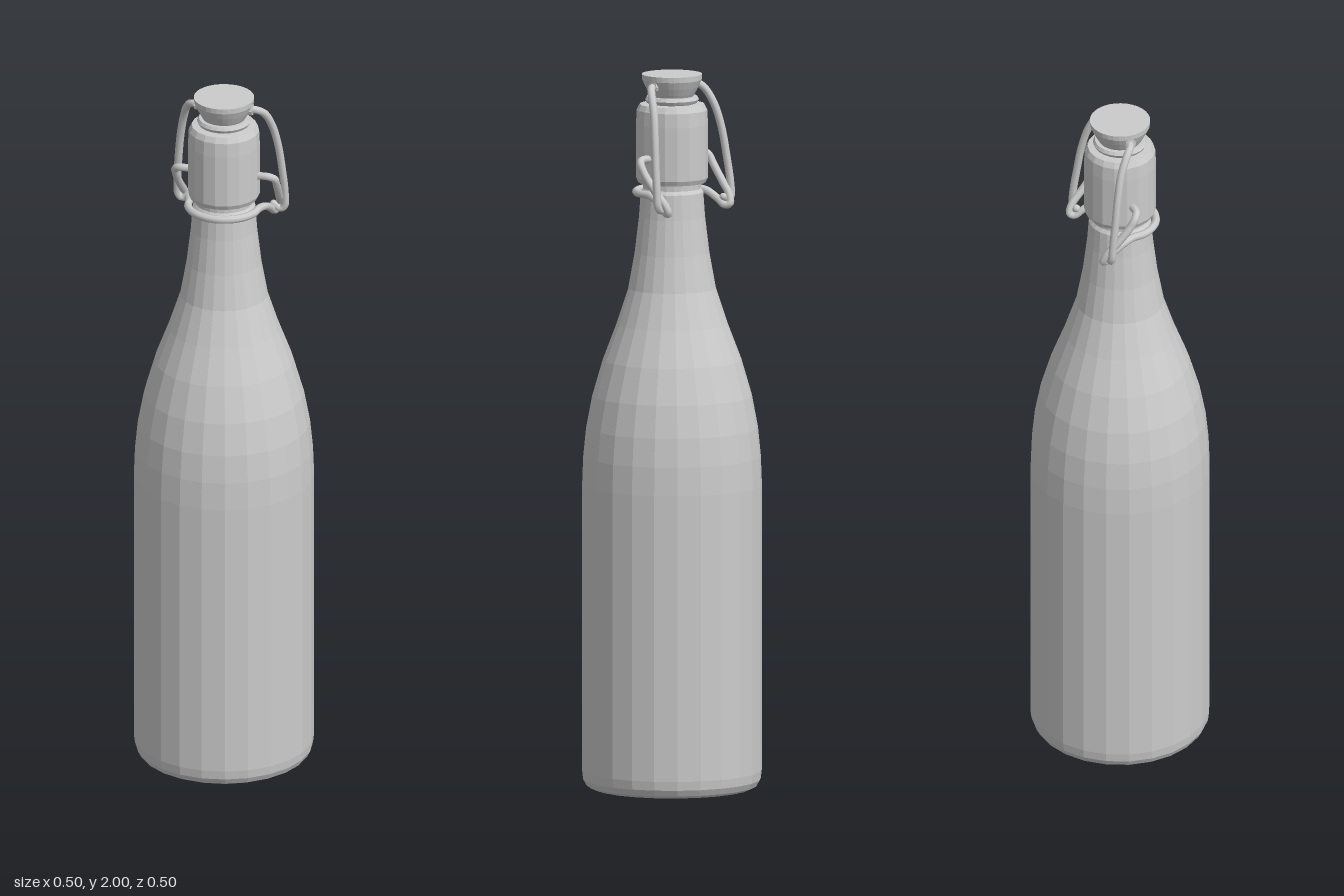
import * as THREE from 'three';

const material = new THREE.MeshStandardMaterial({ color: 0xcccccc, flatShading: true });
const wireMaterial = new THREE.MeshStandardMaterial({ color: 0xcccccc });

// Turned part from [radius, height] pairs, listed bottom to top
function turned(name, profile, sides) {
  const points = profile.map(([r, y]) => new THREE.Vector2(r, y));
  const mesh = new THREE.Mesh(new THREE.LatheGeometry(points, sides), material);
  mesh.name = name;
  return mesh;
}

// Bent wire through points, with rounded ends
function wire(name, points, radius = 0.011) {
  const path = points.map((p) => new THREE.Vector3(...p));
  const curve = new THREE.CatmullRomCurve3(path, false, 'centripetal');
  const group = new THREE.Group();
  group.name = name;
  group.add(new THREE.Mesh(new THREE.TubeGeometry(curve, points.length * 6, radius, 8), wireMaterial));
  for (const end of [path[0], path[path.length - 1]]) {
    const cap = new THREE.Mesh(new THREE.SphereGeometry(radius, 8, 6), wireMaterial);
    cap.position.copy(end);
    group.add(cap);
  }
  return group;
}

const mirror = (points) => points.map(([x, y, z]) => [-x, y, z]);

export function createModel() {
  const model = new THREE.Group();
  model.name = 'swingTopBottle';

  // Glass body, shoulder and neck
  model.add(turned('bottleBody', [
    [0, 0], [0.222, 0], [0.238, 0.008], [0.247, 0.025], [0.25, 0.05],
    [0.25, 0.85], [0.247, 0.93], [0.239, 1.01], [0.222, 1.1], [0.193, 1.2],
    [0.155, 1.3], [0.122, 1.4], [0.104, 1.5], [0.092, 1.6], [0.087, 1.67],
    [0.08, 1.68], [0.08, 1.71],
  ], 24));

  // Thick lip around the mouth
  model.add(turned('lipCollar', [
    [0.075, 1.695], [0.094, 1.697], [0.1, 1.71], [0.1, 1.86], [0.098, 1.9],
    [0.09, 1.916], [0.055, 1.918], [0, 1.918],
  ], 18));

  // Rubber seal and flared stopper
  model.add(turned('seal', [
    [0.055, 1.915], [0.07, 1.92], [0.075, 1.929], [0.07, 1.938], [0, 1.94],
  ], 24));
  model.add(turned('stopper', [
    [0, 1.936], [0.058, 1.936], [0.064, 1.946], [0.074, 1.965], [0.083, 1.985],
    [0.084, 2], [0, 2],
  ], 32));

  // One wire: pivot in the lip, down to a loop, round the front of the neck and back up
  const lever = [
    [0.09, 1.77, 0], [0.128, 1.77, 0], [0.142, 1.76, -0.01], [0.144, 1.735, -0.026],
    [0.141, 1.69, -0.062], [0.136, 1.655, -0.092], [0.129, 1.632, -0.1],
    [0.122, 1.628, -0.088], [0.116, 1.645, -0.066], [0.11, 1.665, -0.03],
  ];
  const front = [];
  for (let i = 0; i <= 10; i++) {
    const a = (i / 10) * Math.PI;
    front.push([0.1 * Math.cos(a), 1.67, 0.1 * Math.sin(a)]);
  }
  model.add(wire('neckWire', [...lever, ...front, ...mirror(lever).reverse()]));

  // Bail arms from the stopper to the loops, hooked at the bottom
  const bail = [
    [0.06, 1.97, 0], [0.09, 1.969, -0.004], [0.11, 1.952, -0.022], [0.127, 1.905, -0.045],
    [0.14, 1.84, -0.06], [0.149, 1.76, -0.071], [0.154, 1.69, -0.08],
    [0.153, 1.65, -0.083], [0.141, 1.638, -0.083], [0.121, 1.65, -0.083],
  ];
  model.add(wire('leftBail', bail));
  model.add(wire('rightBail', mirror(bail)));

  // Small pins where the bail enters the stopper
  for (const side of [1, -1]) {
    const pin = new THREE.Mesh(new THREE.CylinderGeometry(0.016, 0.016, 0.02, 10), material);
    pin.name = side > 0 ? 'leftPin' : 'rightPin';
    pin.rotation.z = Math.PI / 2;
    pin.position.set(side * 0.073, 1.97, 0);
    model.add(pin);
  }
  return model;
}
